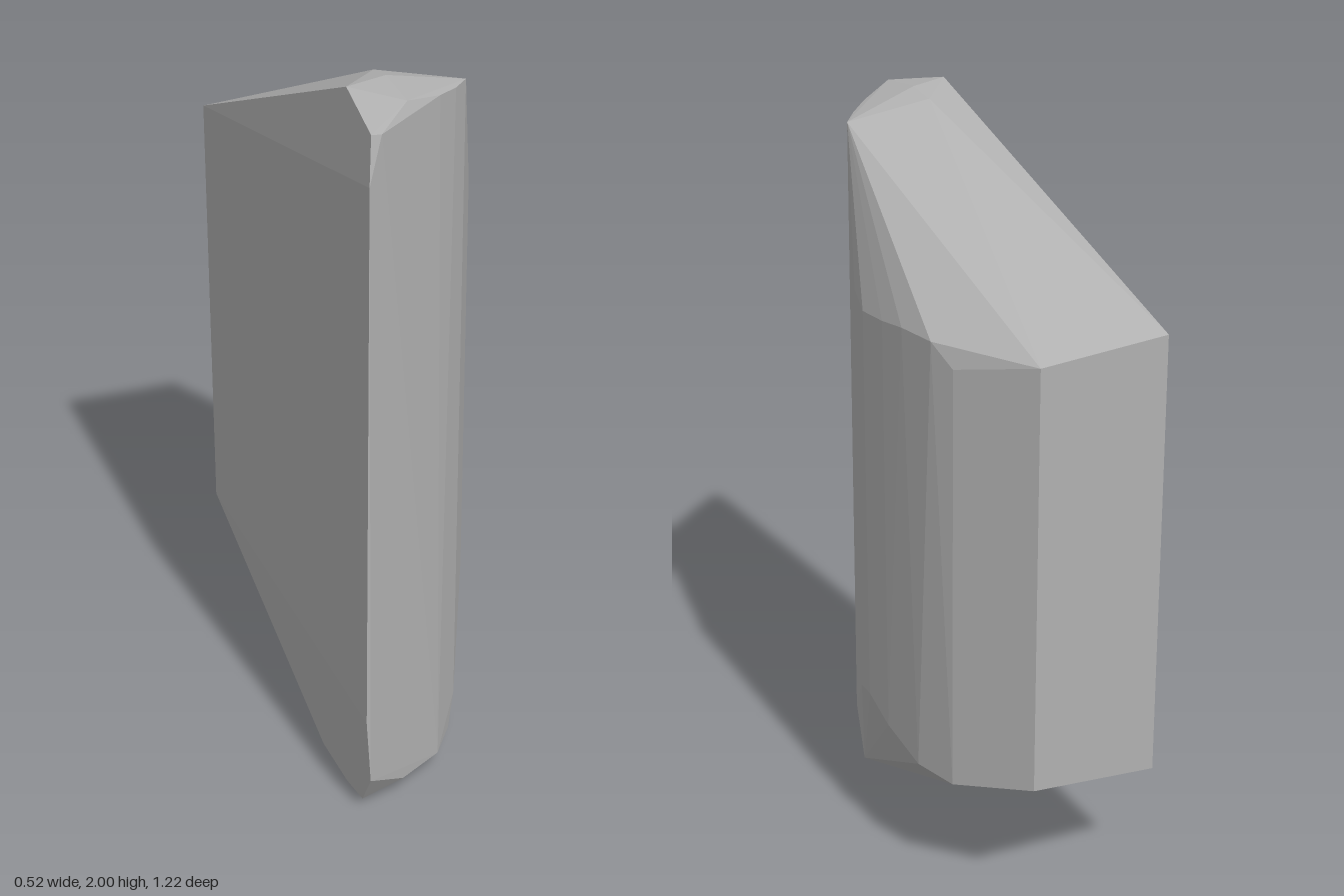
import * as THREE from 'three';
import { ConvexGeometry } from 'three/addons/geometries/ConvexGeometry.js';

export function createModel() {
  const group = new THREE.Group();
  group.name = 'chippedBlock';
  const stone = new THREE.MeshStandardMaterial({ color: 0xb0b0b0 });
  stone.name = 'stone grey';

  // Outline of the nearly flat side, [x, y, z]
  const flatSide = [
    [-0.262, 1.58, -0.61], [-0.225, 2.0, 0.39], [-0.235, 1.95, 0.575],
    [-0.25, 1.83, 0.603], [-0.262, 0.32, 0.61], [-0.25, 0.13, 0.608],
    [-0.245, 0.02, 0.535], [-0.245, 0, 0.42], [-0.245, 0, 0.24],
    [-0.262, 0.34, -0.61],
  ];
  // Rounded crown
  const crown = [
    [-0.21, 1.95, 0.58], [-0.11, 1.985, 0.49], [-0.11, 2.0, 0.355],
    [-0.11, 1.985, 0.275], [0, 1.96, 0.43], [0.065, 1.95, 0.375],
    [0.115, 1.945, 0.32],
  ];
  // Rounded foot
  const foot = [
    [-0.13, 0.06, 0.54], [0, 0.06, 0.47], [0.065, 0.075, 0.39],
    [0, 0.005, 0.40], [0, 0.015, 0.26], [0.115, 0.04, 0.28],
    [0.09, 0.17, 0.365],
  ];
  // Upper and lower rims of the bulging side
  const bulge = [
    [0.225, 1.57, 0.1], [0.253, 1.545, 0.01], [0.26, 1.555, -0.1],
    [0.262, 1.57, -0.2], [0.256, 1.575, -0.33], [0.235, 1.52, -0.4],
    [0.222, 0.4, 0.1], [0.254, 0.43, 0], [0.26, 0.385, -0.11],
    [0.262, 0.345, -0.27], [0.235, 0.34, -0.4],
  ];
  // Inner corners of the flat back
  const back = [[0.117, 1.57, -0.61], [0.117, 0.39, -0.61]];

  const points = [...flatSide, ...crown, ...foot, ...bulge, ...back]
    .map((p) => new THREE.Vector3(...p));
  const block = new THREE.Mesh(new ConvexGeometry(points), stone);
  block.name = 'facetedBlock';
  group.add(block);
  return group;
}
